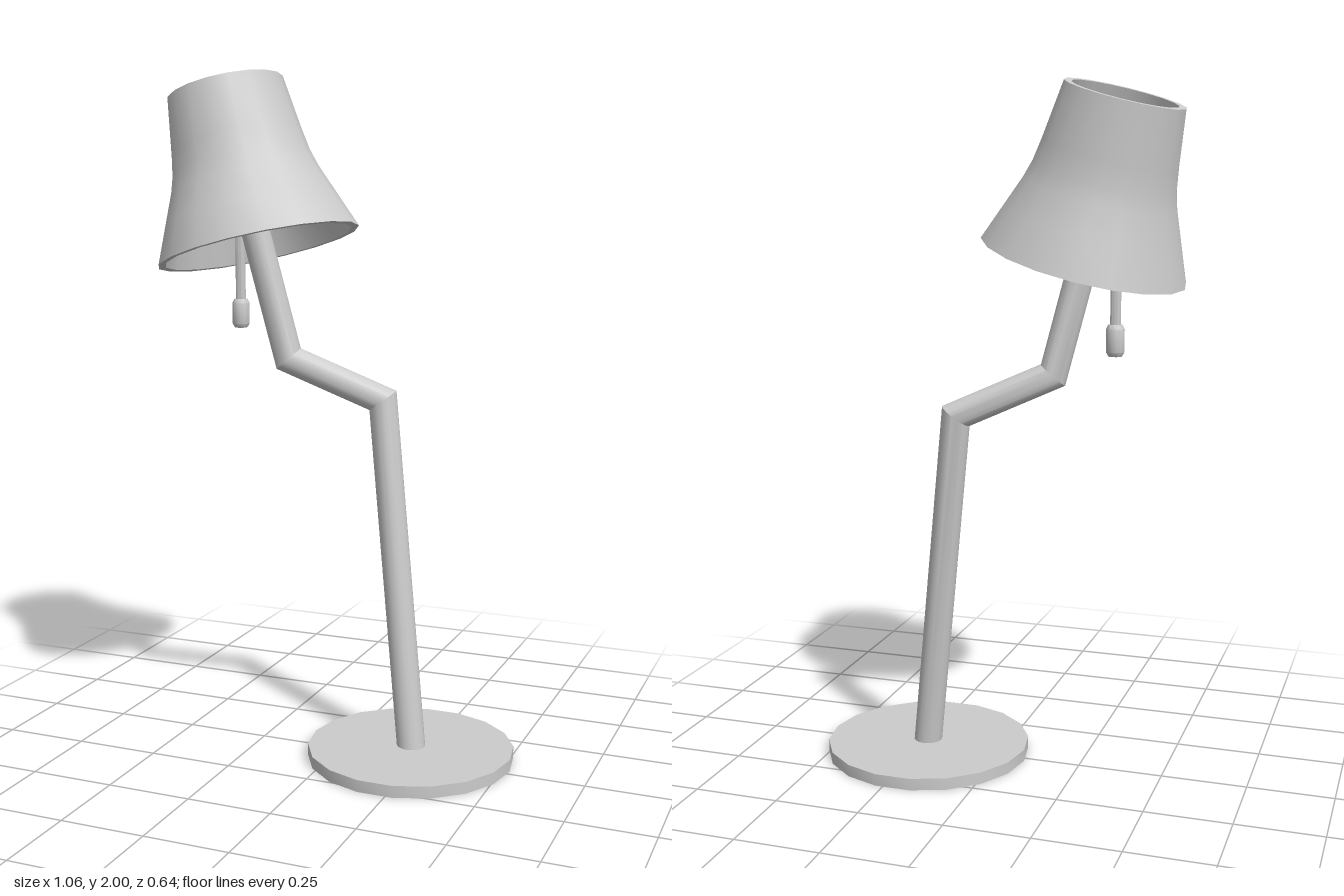
import * as THREE from 'three';
import { toCreasedNormals } from 'three/addons/utils/BufferGeometryUtils.js';

const SIDES = 18;
const material = new THREE.MeshStandardMaterial({ color: 0xcccccc });
const V = (x, y, z) => new THREE.Vector3(x, y, z);

function part(name, geometry) {
  const mesh = new THREE.Mesh(geometry, material);
  mesh.name = name;
  return mesh;
}

// Revolved profile with sharp rims and a corner pointing along +x
function turned(profile, sides = SIDES) {
  const points = profile.map(([r, y]) => new THREE.Vector2(r, y));
  const geometry = new THREE.LatheGeometry(points, sides).rotateY(Math.PI / 2);
  return toCreasedNormals(geometry, 0.6);
}

// Straight round tubes joined with mitred corners, capped at both ends
function mitredTube(path, radius, sides) {
  const dirs = path.slice(1).map((p, i) => p.clone().sub(path[i]).normalize());
  const u = V(0, 0, 1).cross(dirs[0]).normalize();
  const w = dirs[0].clone().cross(u);
  let ring = [];
  for (let i = 0; i < sides; i++) {
    const a = (i / sides) * Math.PI * 2;
    ring.push(path[0].clone().addScaledVector(u, Math.cos(a) * radius).addScaledVector(w, Math.sin(a) * radius));
  }
  const pos = [];
  const tri = (...corners) => corners.forEach((c) => pos.push(c.x, c.y, c.z));
  for (let i = 0; i < sides; i++) tri(path[0], ring[(i + 1) % sides], ring[i]);
  dirs.forEach((dir, s) => {
    // slide the ring along the tube onto the plane halving the next corner
    const normal = dir.clone().add(dirs[s + 1] ?? dir).normalize();
    const next = ring.map((p) => {
      const t = path[s + 1].clone().sub(p).dot(normal) / dir.dot(normal);
      return p.clone().addScaledVector(dir, t);
    });
    for (let i = 0; i < sides; i++) {
      const j = (i + 1) % sides;
      tri(ring[i], ring[j], next[j]);
      tri(ring[i], next[j], next[i]);
    }
    ring = next;
  });
  const end = path[path.length - 1];
  for (let i = 0; i < sides; i++) tri(end, ring[i], ring[(i + 1) % sides]);
  const geometry = new THREE.BufferGeometry();
  geometry.setAttribute('position', new THREE.Float32BufferAttribute(pos, 3));
  return toCreasedNormals(geometry, 0.5);
}

export function createModel() {
  const lamp = new THREE.Group();
  lamp.name = 'lamp';

  // Flat round foot
  const base = part('base', turned([[0, 0], [0.305, 0], [0.305, 0.035], [0, 0.035]]));
  base.position.set(0.22, 0, -0.02);
  lamp.add(base);

  // Bent stem: leaning pole, short arm, riser into the shade
  lamp.add(part('stem', mitredTube([
    V(0.223, 0.02, -0.02), V(0.102, 1.055, -0.088), V(-0.165, 1.175, -0.01), V(-0.298, 1.71, 0.025),
  ], 0.042, 16)));

  // Tilted shade group, its axis along local y
  const head = new THREE.Group();
  head.name = 'lampHead';
  head.position.set(-0.243, 1.5, 0.025);
  head.quaternion.setFromUnitVectors(V(0, 1, 0), V(-0.122, 0.455, -0.04).normalize());
  lamp.add(head);

  // Flared shade, open at both ends
  const outer = [[0.298, 0], [0.254, 0.11], [0.22, 0.195], [0.205, 0.245], [0.194, 0.31], [0.172, 0.472]];
  const inner = outer.map(([r, y]) => [r - 0.021, y]).reverse();
  head.add(part('shade', turned([...outer, ...inner, outer[0]])));

  // Plate inside the shade
  head.add(part('shadePlate', turned([[0, 0.11], [0.24, 0.11], [0.218, 0.165], [0, 0.165]])));

  // Pull cord with a bevelled knob
  const pull = new THREE.Group();
  pull.name = 'pullSwitch';
  pull.position.set(-0.37, 1.25, -0.115);
  pull.add(part('cord', turned([[0, 0.07], [0.015, 0.07], [0.015, 0.345], [0, 0.345]], 12)));
  pull.add(part('knob', turned([[0, 0], [0.019, 0], [0.026, 0.012], [0.026, 0.075], [0.02, 0.087], [0, 0.087]], 12)));
  lamp.add(pull);

  return lamp;
}
